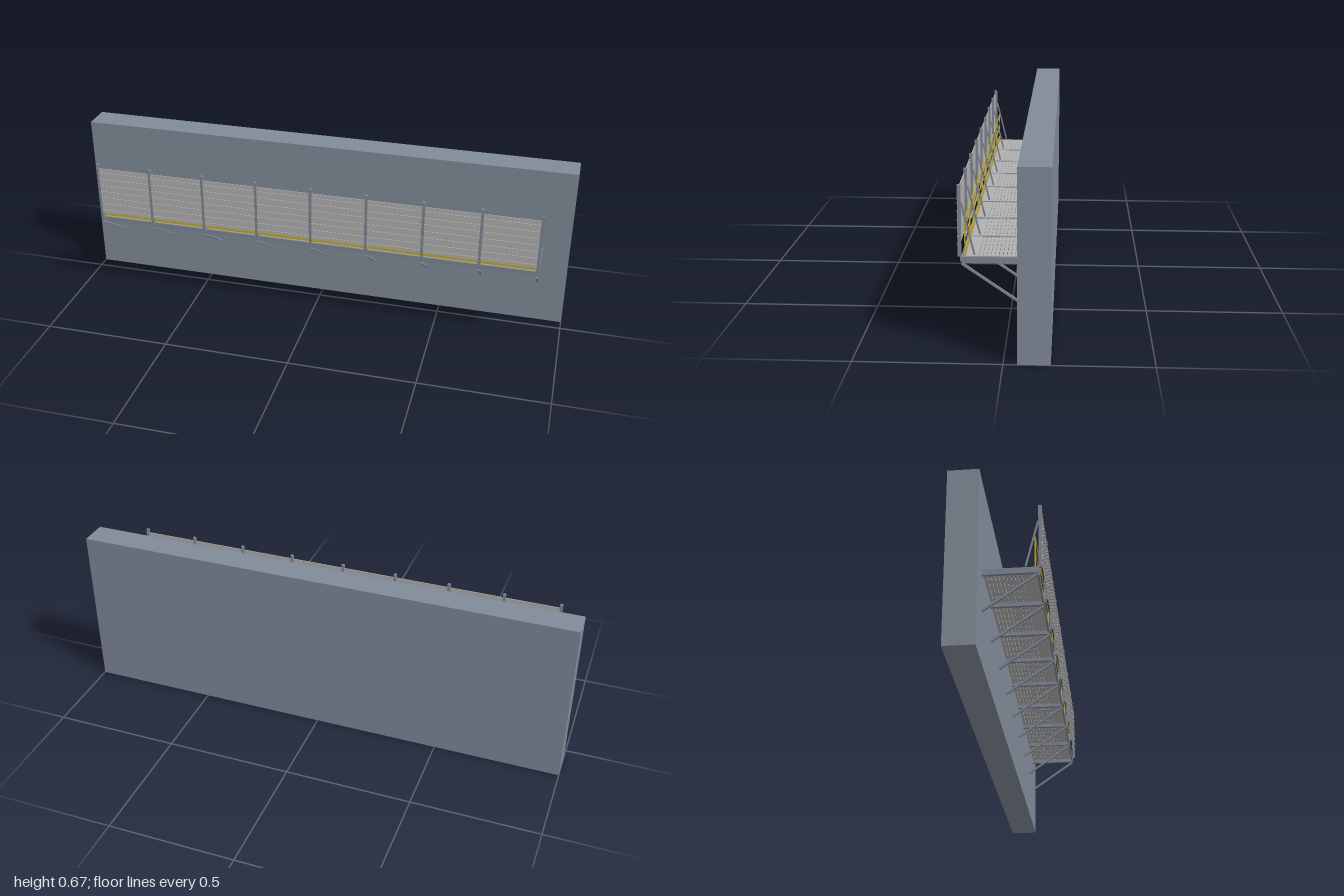
import * as THREE from 'three';

export function createModel() {
  const model = new THREE.Group();
  const mat = (name, color) => {
    const m = new THREE.MeshStandardMaterial({ color });
    m.name = name;
    return m;
  };
  const wallGrey = mat('wall grey', 0x808a98);
  const steel = mat('steel grey', 0x7f8793);
  const sheet = mat('light sheet grey', 0xb0b0b0);
  const yellow = mat('safety yellow', 0xc4a92c);

  // Box given by its limits on each axis
  const box = (name, m, [x0, x1], [y0, y1], [z0, z1], parent = model) => {
    const mesh = new THREE.Mesh(new THREE.BoxGeometry(x1 - x0, y1 - y0, z1 - z0), m);
    mesh.position.set((x0 + x1) / 2, (y0 + y1) / 2, (z0 + z1) / 2);
    mesh.name = name;
    parent.add(mesh);
    return mesh;
  };
  // Sloping bar in the y-z plane
  const brace = (name, x, [y0, z0], [y1, z1], width, depth, parent) => {
    const dy = y1 - y0, dz = z1 - z0;
    const mesh = new THREE.Mesh(new THREE.BoxGeometry(width, Math.hypot(dy, dz), depth), steel);
    mesh.position.set(x, (y0 + y1) / 2, (z0 + z1) / 2);
    mesh.rotation.x = Math.atan2(dz, dy);
    mesh.name = name;
    parent.add(mesh);
  };

  box('wall', wallGrey, [-1, 1], [0, 0.667], [-0.157, -0.047]);

  // Brackets with posts and braces
  const bays = 8, pitch = 0.2225, half = 0.0055;
  const startX = -0.89;
  for (let i = 0; i <= bays; i++) {
    const x = startX + i * pitch;
    const bracket = new THREE.Group();
    bracket.name = 'bracket' + (i + 1);
    model.add(bracket);
    const span = [x - half, x + half];
    box('crossBeam', steel, span, [0.312, 0.334], [-0.047, 0.143], bracket);
    box('post', steel, span, [0.334, 0.578], [0.143, 0.1545], bracket);
    box('postFoot', steel, span, [0.318, 0.334], [0.143, 0.146], bracket);
    brace('lowerBrace', x, [0.309, 0.141], [0.18, -0.045], 0.008, 0.008, bracket);
    brace('postBrace', x, [0.517, 0.142], [0.34, 0.099], 0.006, 0.006, bracket);
  }

  // Screen panels with horizontal ribs, and the deck, bay by bay
  for (let i = 0; i < bays; i++) {
    const x0 = startX + i * pitch + half, x1 = x0 + pitch - 2 * half;
    const span = [x0, x1];
    const panel = new THREE.Group();
    panel.name = 'screenPanel' + (i + 1);
    model.add(panel);
    box('sheet', sheet, span, [0.358, 0.56], [0.1515, 0.1545], panel);
    for (let k = 0; k < 7; k++) {
      const y = 0.371 + k * 0.0283;
      box('rib', sheet, span, [y - 0.002, y + 0.002], [0.1545, 0.157], panel);
    }

    const deck = new THREE.Group();
    deck.name = 'deckBay' + (i + 1);
    model.add(deck);
    // Slotted grating planks
    for (let k = 0; k < 10; k++) {
      const z = -0.046 + k * 0.0133;
      box('gratingBar', sheet, span, [0.326, 0.333], [z, z + 0.0105], deck);
    }
    for (const t of [0.1, 0.3, 0.5, 0.7, 0.9]) {
      const x = x0 + (x1 - x0) * t;
      box('gratingTie', sheet, [x - 0.009, x + 0.009], [0.327, 0.3325], [-0.046, 0.087], deck);
    }
    box('edgePlank', sheet, span, [0.326, 0.333], [0.087, 0.136], deck);
    box('edgeBeam', steel, span, [0.317, 0.334], [0.136, 0.143], deck);
  }

  // Yellow guard rail behind the screen
  const guard = new THREE.Group();
  guard.name = 'guardRail';
  model.add(guard);
  const length = [-0.885, 0.885];
  box('toeBoard', yellow, length, [0.334, 0.356], [0.1295, 0.1325], guard);
  for (const y of [0.4, 0.456]) {
    box('rail', yellow, length, [y - 0.002, y + 0.002], [0.129, 0.133], guard);
  }
  for (let i = 0; i <= 10; i++) {
    const x = -0.883 + i * 0.1766;
    box('stanchion', yellow, [x - 0.002, x + 0.002], [0.334, 0.456], [0.129, 0.133], guard);
  }

  return model;
}
